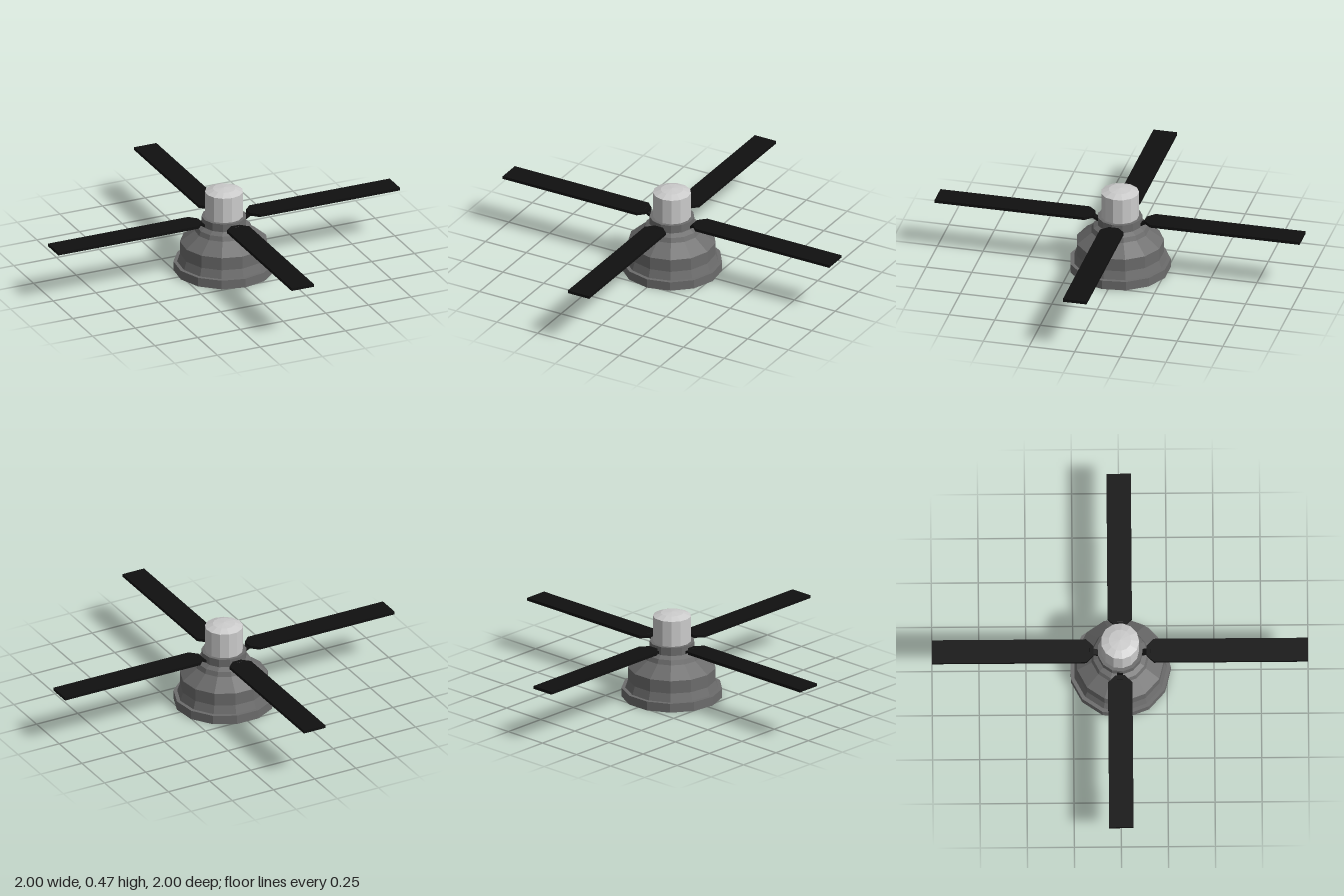
import * as THREE from 'three';

const SIDES = 13;

function material(color) {
  return new THREE.MeshStandardMaterial({ color, flatShading: true });
}

// Faceted turned part from [radius, height] pairs, listed from bottom to top
function turned(name, profile, mat) {
  const points = profile.map(([r, y]) => new THREE.Vector2(r, y));
  const mesh = new THREE.Mesh(new THREE.LatheGeometry(points, SIDES), mat);
  mesh.name = name;
  return mesh;
}

// Flat outline in x and z, thickened downwards from the given top height
function slab(name, outline, top, thickness, mat) {
  const shape = new THREE.Shape(outline.map(([x, z]) => new THREE.Vector2(x, z)));
  const geometry = new THREE.ExtrudeGeometry(shape, { depth: thickness, bevelEnabled: false });
  geometry.rotateX(Math.PI / 2);
  geometry.translate(0, top, 0);
  const mesh = new THREE.Mesh(geometry, mat);
  mesh.name = name;
  return mesh;
}

export function createModel() {
  const model = new THREE.Group();
  model.name = 'ceilingFan';
  const light = material(0xcccccc);
  const dark = material(0x6c6c6c);
  const black = material(0x101010);

  // Stepped motor housing with a wide foot rim and a neck
  model.add(turned('motorHousing', [
    [0, 0], [0.27, 0], [0.27, 0.05], [0.25, 0.05], [0.235, 0.095], [0.235, 0.165],
    [0.155, 0.225], [0.145, 0.25], [0.12, 0.265], [0.12, 0.31], [0, 0.31],
  ], dark));

  // Light cap with a shallow domed top
  model.add(turned('cap', [
    [0.102, 0.305], [0.102, 0.452], [0.06, 0.468], [0, 0.474],
  ], light));

  // Four blades, each on a short sloping bracket
  for (let i = 0; i < 4; i++) {
    const arm = new THREE.Group();
    arm.name = 'bladeArm' + (i + 1);
    arm.add(slab('blade', [
      [0.14, -0.025], [0.18, -0.065], [1, -0.065], [1, 0.065], [0.18, 0.065], [0.14, 0.025],
    ], 0.308, 0.016, black));

    const bracket = new THREE.Mesh(new THREE.BoxGeometry(0.065, 0.014, 0.032), black);
    bracket.name = 'bracket';
    bracket.position.set(0.138, 0.287, 0);
    bracket.rotation.z = 0.5;
    arm.add(bracket);

    arm.rotation.y = i * Math.PI / 2;
    model.add(arm);
  }
  return model;
}
